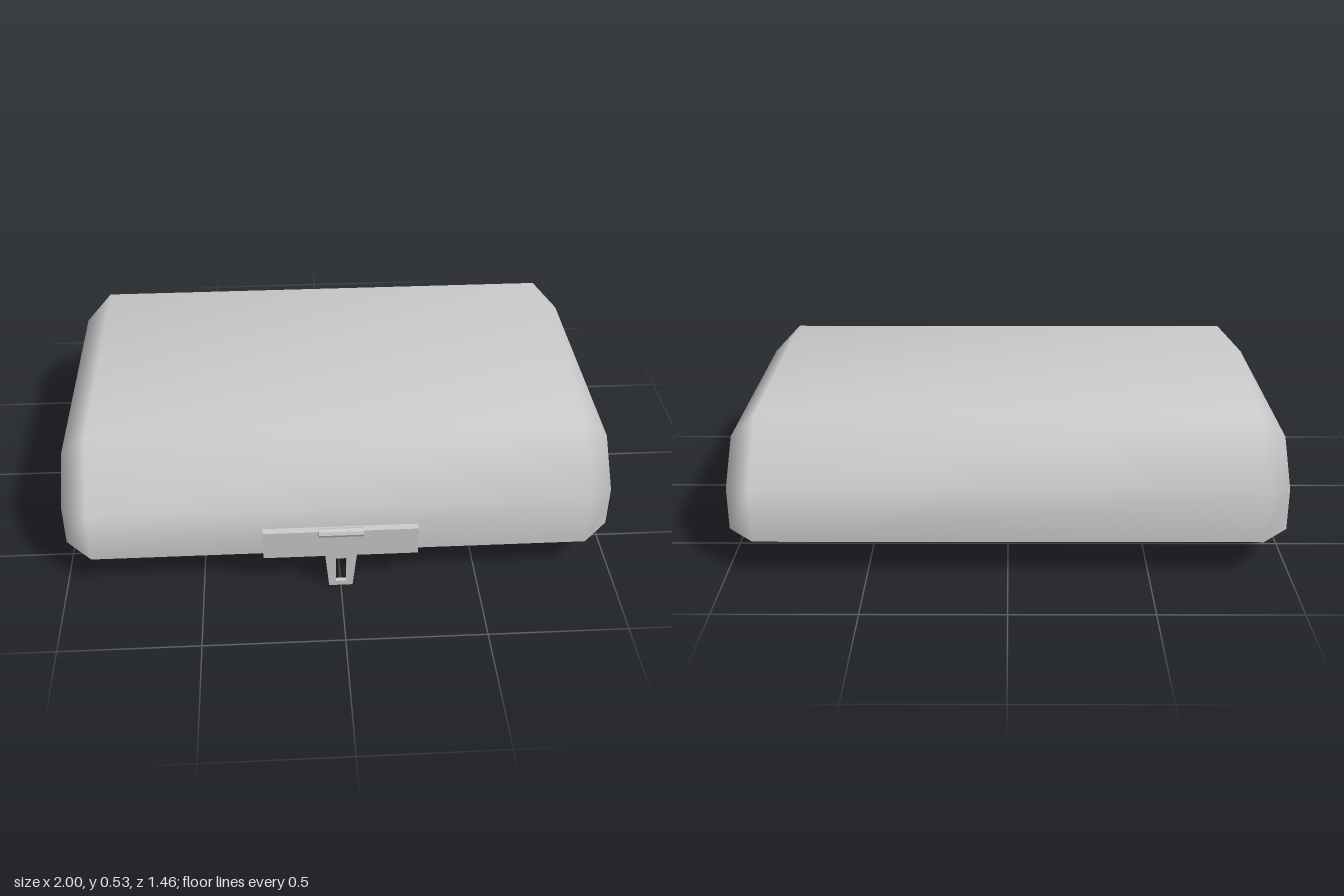
import * as THREE from 'three';

const material = new THREE.MeshStandardMaterial({ color: 0xcccccc });
const BOTTOM = 0.13, TOP = 0.53, FRONT = 0.68, BACK = -0.73, WALL = 0.05;
const SLOPE = 0.2, BEVEL = 0.1;
const CUT = Math.tan(Math.PI / 8); // shift of a 45 degree corner when inset by 1

// Side profile of the lid, as [z, y] from front bottom over the top to back bottom
function profile(inset) {
  const f = FRONT - inset, b = BACK + inset, t = TOP - inset;
  const y = TOP - SLOPE - CUT * inset, d = SLOPE + CUT * inset;
  return [[f, BOTTOM], [f, y], [FRONT - d, t], [BACK + d, t], [b, y], [b, BOTTOM]];
}

// Cross-sections along x: [x, inset], with the ends bevelled inwards
function sections(wall) {
  const straight = 1 - BEVEL - CUT * wall, end = 1 - wall;
  return [[-end, BEVEL + wall], [-straight, wall], [straight, wall], [end, BEVEL + wall]];
}

// Smooth bevelled shell, open at the bottom
function shellGeometry(wall, inward) {
  const positions = [], index = [];
  const quad = (a, b, c, d) => index.push(...(inward ? [a, c, b, a, d, c] : [a, b, c, a, c, d]));
  const rows = sections(wall);
  for (const [x, inset] of rows) {
    for (const [z, y] of profile(inset)) positions.push(x, y, z);
  }
  for (let s = 0; s < rows.length - 1; s++) {
    for (let j = 0; j < 5; j++) {
      const a = s * 6 + j;
      quad(a, a + 6, a + 7, a + 1);
    }
  }
  const e = (rows.length - 1) * 6;
  for (let j = 0; j < 2; j++) {
    quad(j, j + 1, 4 - j, 5 - j);
    quad(e + 5 - j, e + 4 - j, e + j + 1, e + j);
  }
  const g = new THREE.BufferGeometry();
  g.setAttribute('position', new THREE.Float32BufferAttribute(positions, 3));
  g.setIndex(index);
  g.computeVertexNormals();
  return g;
}

// Eight-sided outline of the shell where it is open
function outline(wall) {
  const [[end, i], [straight, w]] = sections(wall).slice(2).reverse();
  const f = FRONT - w, b = BACK + w, f2 = FRONT - i, b2 = BACK + i;
  return [
    [straight, b], [end, b2], [end, f2], [straight, f],
    [-straight, f], [-end, f2], [-end, b2], [-straight, b],
  ].map(([x, z]) => new THREE.Vector2(x, z));
}

export function createModel() {
  const group = new THREE.Group();
  const add = (name, geometry, x = 0, y = 0, z = 0) => {
    const mesh = new THREE.Mesh(geometry, material);
    mesh.name = name;
    mesh.position.set(x, y, z);
    group.add(mesh);
    return mesh;
  };

  // Lid: outer skin, inner skin and the flat rim joining them
  add('lidOuter', shellGeometry(0, false));
  add('lidInner', shellGeometry(WALL, true));
  const rim = new THREE.Shape(outline(0));
  rim.holes.push(new THREE.Path(outline(WALL)));
  add('lidRim', new THREE.ShapeGeometry(rim).rotateX(Math.PI / 2), 0, BOTTOM, 0);

  // Plate on the front wall that carries the latch
  add('latchPlate', new THREE.BoxGeometry(0.56, 0.115, 0.03), 0, BOTTOM + 0.0575, 0.692);

  // Tapered latch tongue with a slot
  const v = (x, y) => new THREE.Vector2(x, y);
  const tongue = new THREE.Shape([v(-0.043, 0), v(0.043, 0), v(0.067, 0.246), v(-0.067, 0.246)]);
  tongue.holes.push(new THREE.Path([v(-0.019, 0.02), v(-0.019, 0.13), v(0.019, 0.13), v(0.019, 0.02)]));
  add('latchTongue', new THREE.ExtrudeGeometry(tongue, { depth: 0.016, bevelEnabled: false }), 0, 0, 0.707);

  // Hinge pin across the top of the tongue
  const pin = new THREE.CylinderGeometry(0.017, 0.017, 0.16, 8).rotateZ(Math.PI / 2).toNonIndexed();
  pin.computeVertexNormals();
  add('latchPin', pin, 0, 0.247, 0.714);

  return group;
}
